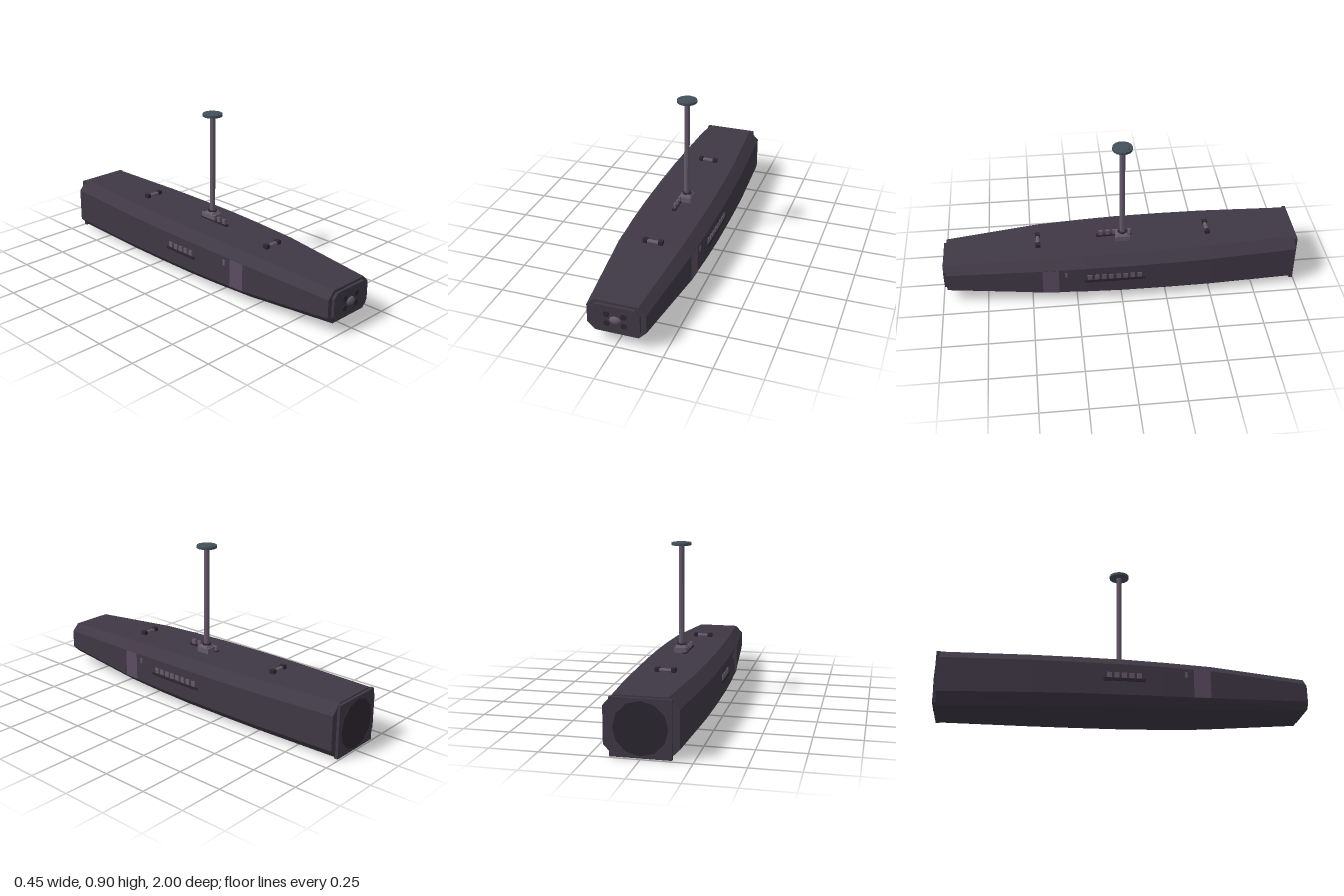
import * as THREE from 'three';

const mat = (color) => new THREE.MeshStandardMaterial({ color, flatShading: true, side: THREE.DoubleSide });
const HULL = mat(0x3f3845), DARK = mat(0x2c2630), TRIM = mat(0x665a6b), PANEL = mat(0x5a4c62), DISC = mat(0x43505a);

// Hull stations: z, half width, half width of flat top, bottom, lower chine, upper chine, top
const STATIONS = [
  [0.97, 0.155, 0.115, 0.06, 0.1, 0.2, 0.24],
  [0.45, 0.205, 0.155, 0.03, 0.075, 0.228, 0.275],
  [0.2, 0.216, 0.164, 0.022, 0.07, 0.235, 0.283],
  [0, 0.22, 0.168, 0.018, 0.068, 0.238, 0.288],
  [-0.25, 0.219, 0.166, 0.015, 0.066, 0.24, 0.292],
  [-0.5, 0.213, 0.16, 0.012, 0.063, 0.243, 0.295],
  [-0.98, 0.185, 0.13, 0.003, 0.058, 0.247, 0.302],
];

// Hull dimensions at any z
function hullAt(z) {
  let i = 0;
  while (i < STATIONS.length - 2 && z < STATIONS[i + 1][0]) i++;
  const a = STATIONS[i], b = STATIONS[i + 1], t = (z - a[0]) / (b[0] - a[0]);
  const [, w, flat, bottom, low, high, top] = a.map((v, k) => v + (b[k] - v) * t);
  return { w, flat, bottom, low, high, top };
}

function ring(z) {
  const { w, flat, bottom, low, high, top } = hullAt(z);
  return [[flat, bottom], [w, low], [w, high], [flat, top], [-flat, top], [-w, high], [-w, low], [-flat, bottom]]
    .map(([x, y]) => [x, y, z]);
}

function buffer(points, index) {
  const g = new THREE.BufferGeometry();
  g.setAttribute('position', new THREE.Float32BufferAttribute(points.flat(), 3));
  g.setIndex(index);
  const flat = g.toNonIndexed();
  flat.computeVertexNormals();
  return flat;
}

function hullGeometry() {
  const points = [], index = [], n = 8, last = (STATIONS.length - 1) * n;
  STATIONS.forEach((s) => points.push(...ring(s[0])));
  for (let s = 0; s < STATIONS.length - 1; s++) {
    for (let k = 0; k < n; k++) {
      const a = s * n + k, b = s * n + (k + 1) % n;
      index.push(a, a + n, b, b, a + n, b + n);
    }
  }
  for (let k = 1; k < n - 1; k++) {
    index.push(0, k, k + 1);
    index.push(last, last + k + 1, last + k);
  }
  return buffer(points, index);
}

// Plate with cut corners, extruded along z
function cutPlate(w, h, cut, depth) {
  const s = new THREE.Shape([[w - cut, -h], [w, cut - h], [w, h - cut], [w - cut, h], [cut - w, h], [-w, h - cut], [-w, cut - h], [cut - w, -h]]
    .map(([x, y]) => new THREE.Vector2(x, y)));
  return new THREE.ExtrudeGeometry(s, { depth, bevelEnabled: false });
}

export function createModel() {
  const model = new THREE.Group();
  const add = (name, geometry, material, x = 0, y = 0, z = 0, parent = model) => {
    const m = new THREE.Mesh(geometry, material);
    m.name = name;
    m.position.set(x, y, z);
    parent.add(m);
    return m;
  };
  const box = (name, w, h, d, material, x, y, z, parent) =>
    add(name, new THREE.BoxGeometry(w, h, d), material, x, y, z, parent);

  add('hull', hullGeometry(), HULL);

  // Nose plate with central dome and four round ports
  add('nosePlate', cutPlate(0.128, 0.076, 0.025, 0.02), HULL, 0, 0.15, 0.965);
  add('noseDome', new THREE.SphereGeometry(1, 14, 10), TRIM, 0, 0.15, 0.982).scale.set(0.031, 0.023, 0.018);
  for (const x of [-0.045, 0.045]) {
    for (const y of [0.124, 0.178]) {
      add('nosePort', new THREE.CylinderGeometry(0.016, 0.016, 0.008, 12), DARK, x, y, 0.984).rotation.x = Math.PI / 2;
    }
  }

  // Stern plate and round stern disc
  box('sternPlate', 0.3, 0.288, 0.02, HULL, 0, 0.151, -0.986);
  add('sternDisc', new THREE.CylinderGeometry(0.133, 0.133, 0.01, 12), DARK, 0, 0.151, -0.995).rotation.x = Math.PI / 2;

  // Side fittings: light band, small window, window row and ledge
  for (const side of [1, -1]) {
    const group = new THREE.Group();
    group.name = side > 0 ? 'leftSideFittings' : 'rightSideFittings';
    model.add(group);
    const band = [0.44, 0.35].flatMap((z) => {
      const { w, low, high } = hullAt(z);
      return [[side * (w + 0.002), low, z], [side * (w + 0.002), high, z]];
    });
    add('sideBand', buffer(band, side > 0 ? [0, 2, 1, 1, 2, 3] : [0, 1, 2, 1, 3, 2]), PANEL, 0, 0, 0, group);
    box('smallWindow', 0.006, 0.032, 0.014, TRIM, side * hullAt(0.31).w, 0.198, 0.31, group);
    const count = side > 0 ? 8 : 5, first = -0.097;
    for (let i = 0; i < count; i++) {
      const z = first + i * 0.0395;
      box('window', 0.01, 0.03, 0.025, TRIM, side * hullAt(z).w, 0.175, z, group);
    }
    const length = count * 0.0395 + 0.02;
    box('windowLedge', 0.022, 0.016, length, DARK, side * 0.214, 0.151, first - 0.03 + length / 2, group);
  }

  // Deck handles: a low bar between two end blocks
  for (const z of [0.455, -0.5]) {
    const handle = new THREE.Group();
    handle.name = 'deckHandle';
    handle.position.set(0, hullAt(z).top, z);
    model.add(handle);
    add('bar', new THREE.CylinderGeometry(0.011, 0.011, 0.1, 8), TRIM, 0, 0.007, 0, handle).rotation.z = Math.PI / 2;
    for (const x of [-0.043, 0.043]) box('endBlock', 0.024, 0.026, 0.028, DARK, x, 0.008, 0, handle);
  }

  // Row of deck posts on a narrow rail
  box('postRail', 0.02, 0.012, 0.2, DARK, -0.003, 0.289, 0.025);
  for (const z of [0.1, 0.06, 0.02, -0.02, -0.06]) box('deckPost', 0.012, 0.036, 0.022, TRIM, -0.003, 0.303, z);

  // Mast: base block, tapered collar, pole and top disc
  const mast = new THREE.Group();
  mast.name = 'mast';
  mast.position.set(0.025, 0, -0.02);
  model.add(mast);
  box('mastBase', 0.07, 0.035, 0.08, TRIM, 0, 0.3, 0, mast);
  const taper = new THREE.CylinderGeometry(0.034, 0.049, 0.014, 4);
  taper.rotateY(Math.PI / 4);
  add('mastBaseTop', taper, TRIM, 0, 0.324, 0, mast);
  add('mastCollar', new THREE.CylinderGeometry(0.026, 0.026, 0.008, 12), DARK, 0, 0.333, 0, mast);
  add('mastPole', new THREE.CylinderGeometry(0.015, 0.015, 0.56, 10), TRIM, 0, 0.608, 0, mast);
  add('mastDisc', new THREE.CylinderGeometry(0.055, 0.055, 0.014, 14), DISC, 0, 0.89, 0, mast);
  add('mastDiscCap', new THREE.CylinderGeometry(0.038, 0.042, 0.004, 14), DISC, 0, 0.898, 0, mast);

  return model;
}
